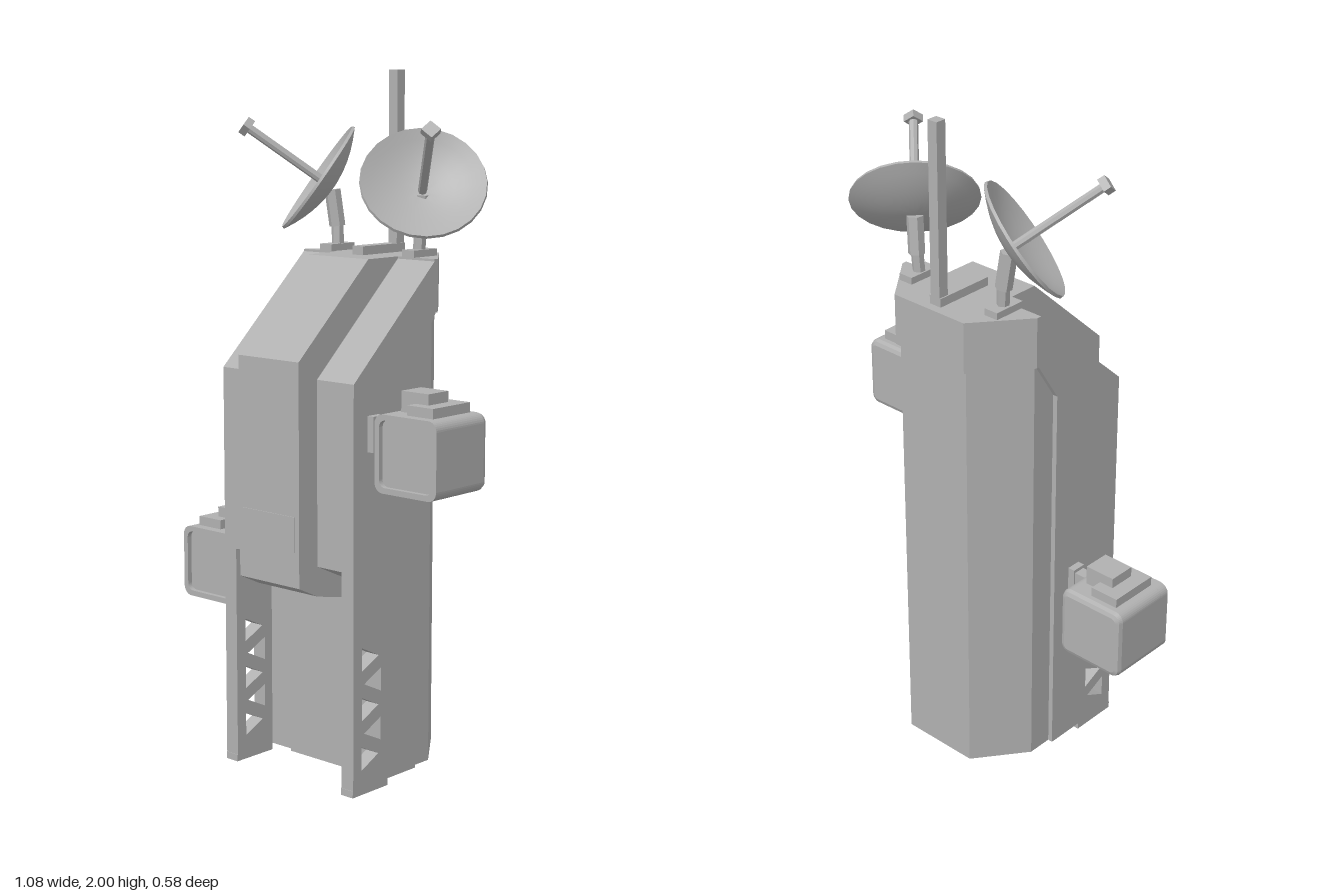
import * as THREE from 'three';
import { toCreasedNormals } from 'three/addons/utils/BufferGeometryUtils.js';

const grey = new THREE.MeshStandardMaterial({ color: 0xb0b0b0 });
grey.name = 'grey metal';

const add = (parent, name, geometry) => {
  const mesh = new THREE.Mesh(geometry, grey);
  mesh.name = name;
  parent.add(mesh);
  return mesh;
};

// Box given by its limits on each axis
const box = (parent, name, [x0, x1], [y0, y1], [z0, z1]) => add(parent, name,
  new THREE.BoxGeometry(Math.abs(x1 - x0), y1 - y0, z1 - z0)
    .translate((x0 + x1) / 2, (y0 + y1) / 2, (z0 + z1) / 2));

const shapeOf = (pts) => new THREE.Shape(pts.map(([a, b]) => new THREE.Vector2(a, b)));
const extrude = (shape, depth) => new THREE.ExtrudeGeometry(shape, { depth, bevelEnabled: false });

// Side profile of [z, y] points, extruded between two x values
const sideSlab = (shape, x0, x1) => extrude(shape, Math.abs(x1 - x0))
  .rotateY(-Math.PI / 2).translate(Math.max(x0, x1), 0, 0);

// Symmetric floor plan of [x, z] points for the +x half, extruded between two heights
const planPrism = (half, y0, y1) => {
  const all = [...half, ...half.map(([x, z]) => [-x, z]).reverse()];
  return extrude(shapeOf(all.map(([x, z]) => [x, -z])), y1 - y0).rotateX(-Math.PI / 2).translate(0, y0, 0);
};

const roundedSquare = (size, r, Type = THREE.Shape) => {
  const h = size / 2, p = new Type();
  [[1, 1, 0], [-1, 1, 1], [-1, -1, 2], [1, -1, 3]].forEach(([sx, sy, q]) =>
    p.absarc(sx * (h - r), sy * (h - r), r, q * Math.PI / 2, (q + 1) * Math.PI / 2, false));
  p.closePath();
  return p;
};

// Cylinder between two points
const rod = (parent, name, a, b, radius, sides) => {
  const from = new THREE.Vector3(...a), dir = new THREE.Vector3(...b).sub(from);
  const g = toCreasedNormals(new THREE.CylinderGeometry(radius, radius, dir.length(), sides), 0.3);
  const mesh = add(parent, name, g);
  mesh.position.copy(from).addScaledVector(dir, 0.5);
  mesh.quaternion.setFromUnitVectors(new THREE.Vector3(0, 1, 0), dir.normalize());
  return mesh;
};

// Side panel with its sloping shoulder, lattice leg and foot
function addSide(root, s) {
  const g = new THREE.Group();
  g.name = s > 0 ? 'leftSide' : 'rightSide';
  root.add(g);
  add(g, 'sidePanel', sideSlab(shapeOf([[-0.05, 0.02], [0.07, 0.02], [0.07, 0.573], [0.215, 0.64],
    [0.215, 1.165], [-0.127, 1.48], [-0.127, 1.33], [-0.05, 1.21]]), s * 0.115, s * 0.25));
  const lattice = shapeOf([[0.07, 0.02], [0.215, 0.02], [0.215, 0.64], [0.07, 0.573]]);
  for (let i = 0; i < 5; i++) {
    const y = 0.105 + i * 0.0715, [base, tip] = i % 2 ? [0.1, 0.17] : [0.18, 0.11];
    lattice.holes.push(new THREE.Path([[base, y - 0.034], [tip, y], [base, y + 0.034]]
      .map(([a, b]) => new THREE.Vector2(a, b))));
  }
  add(g, 'latticeLeg', sideSlab(lattice, s * 0.205, s * 0.25));
  box(g, 'foot', [s * 0.205, s * 0.25], [0, 0.02], [0.07, 0.217]);
}

// Floodlight on a side bracket; the position is its centre
function addLamp(root, s, y, z) {
  const g = new THREE.Group();
  g.name = s > 0 ? 'leftLamp' : 'rightLamp';
  g.position.set(s * 0.43, y, z);
  root.add(g);
  add(g, 'lampHousing', new THREE.ExtrudeGeometry(roundedSquare(0.183, 0.012), {
    depth: 0.168, bevelEnabled: true, bevelSize: 0.016, bevelThickness: 0.016, bevelSegments: 2, curveSegments: 4,
  }).translate(0, 0, -0.0915));
  const rim = roundedSquare(0.215, 0.028);
  rim.holes.push(roundedSquare(0.183, 0.02, THREE.Path));
  add(g, 'lampRim', new THREE.ExtrudeGeometry(rim, { depth: 0.032, bevelEnabled: false, curveSegments: 4 })
    .translate(0, 0, 0.0755));
  box(g, 'topPlate', [s * -0.02, s * 0.07], [0.1, 0.135], [-0.077, 0.077]);
  box(g, 'topBlock', [s * -0.07, s * 0.025], [0.1, 0.165], [-0.04, 0.042]);
  box(g, 'bracketBase', [s * -0.182, s * -0.158], [-0.015, 0.085], [0.01, 0.054]);
  box(g, 'bracketArm', [s * -0.16, s * -0.1], [-0.01, 0.075], [0.014, 0.05]);
  box(g, 'bracketLeg', [s * -0.135, s * -0.1], [-0.06, 0], [0.014, 0.05]);
}

// Dish antenna on a post, aimed up, outwards and forwards
function addDish(root, s) {
  const g = new THREE.Group();
  g.name = s > 0 ? 'leftDish' : 'rightDish';
  root.add(g);
  box(g, 'dishBase', [s * 0.135, s * 0.18], [1.48, 1.5], [-0.215, -0.115]);
  rod(g, 'lowerPost', [s * 0.155, 1.49, -0.165], [s * 0.16, 1.575, -0.168], 0.018, 6);
  rod(g, 'upperPost', [s * 0.16, 1.55, -0.168], [s * 0.172, 1.655, -0.16], 0.024, 6);

  const head = new THREE.Group();
  head.name = 'dishHead';
  head.position.set(s * 0.202, 1.692, -0.128);
  head.quaternion.setFromUnitVectors(new THREE.Vector3(0, 1, 0), new THREE.Vector3(s, 1, 1).normalize());
  g.add(head);
  const R = 0.18, depth = 0.05, steps = 6, profile = [];
  for (let i = 0; i <= steps; i++) {
    const t = i / steps;
    profile.push(new THREE.Vector2(R * t, depth * (t * t - 1) - 0.006));
  }
  for (let i = steps; i >= 0; i--) {
    const t = i / steps;
    profile.push(new THREE.Vector2((R - 0.003) * t, depth * (t * t - 1) + 0.002));
  }
  add(head, 'reflector', toCreasedNormals(new THREE.LatheGeometry(profile, 24), 0.6));
  rod(head, 'feedRod', [0, -0.05, 0], [0, 0.25, 0], 0.013, 8);
  box(head, 'feedTip', [-0.019, 0.019], [0.24, 0.262], [-0.019, 0.019]);
}

export function createModel() {
  const root = new THREE.Group();
  root.name = 'antennaTower';

  // Main column and its wider cap at the back
  add(root, 'column', planPrism([[0.115, 0.085], [0.125, 0.07], [0.235, 0.07], [0.235, -0.127], [0.122, -0.275]], 0.02, 0.6));
  add(root, 'upperColumn', planPrism([[0.235, -0.05], [0.235, -0.127], [0.122, -0.275]], 0.6, 1.34));
  add(root, 'cap', planPrism([[0.25, -0.12], [0.25, -0.135], [0.127, -0.288]], 1.33, 1.48));

  // Raised centre section with its access panel
  add(root, 'centreSection', sideSlab(shapeOf([[-0.127, 0.525], [0.075, 0.525], [0.215, 0.555], [0.288, 0.59],
    [0.288, 1.22], [0.005, 1.48], [-0.127, 1.48]]), -0.115, 0.115));
  box(root, 'accessPanel', [-0.1, 0.1], [0.69, 0.79], [0.286, 0.291]);

  // Mast and roof block
  box(root, 'mast', [-0.016, 0.016], [1.48, 2], [-0.262, -0.23]);
  box(root, 'roofBlock', [-0.02, 0.02], [1.48, 1.505], [-0.262, -0.078]);

  for (const s of [1, -1]) {
    addSide(root, s);
    addDish(root, s);
  }
  addLamp(root, 1, 0.988, 0.105);
  addLamp(root, -1, 0.535, 0.001);
  return root;
}
